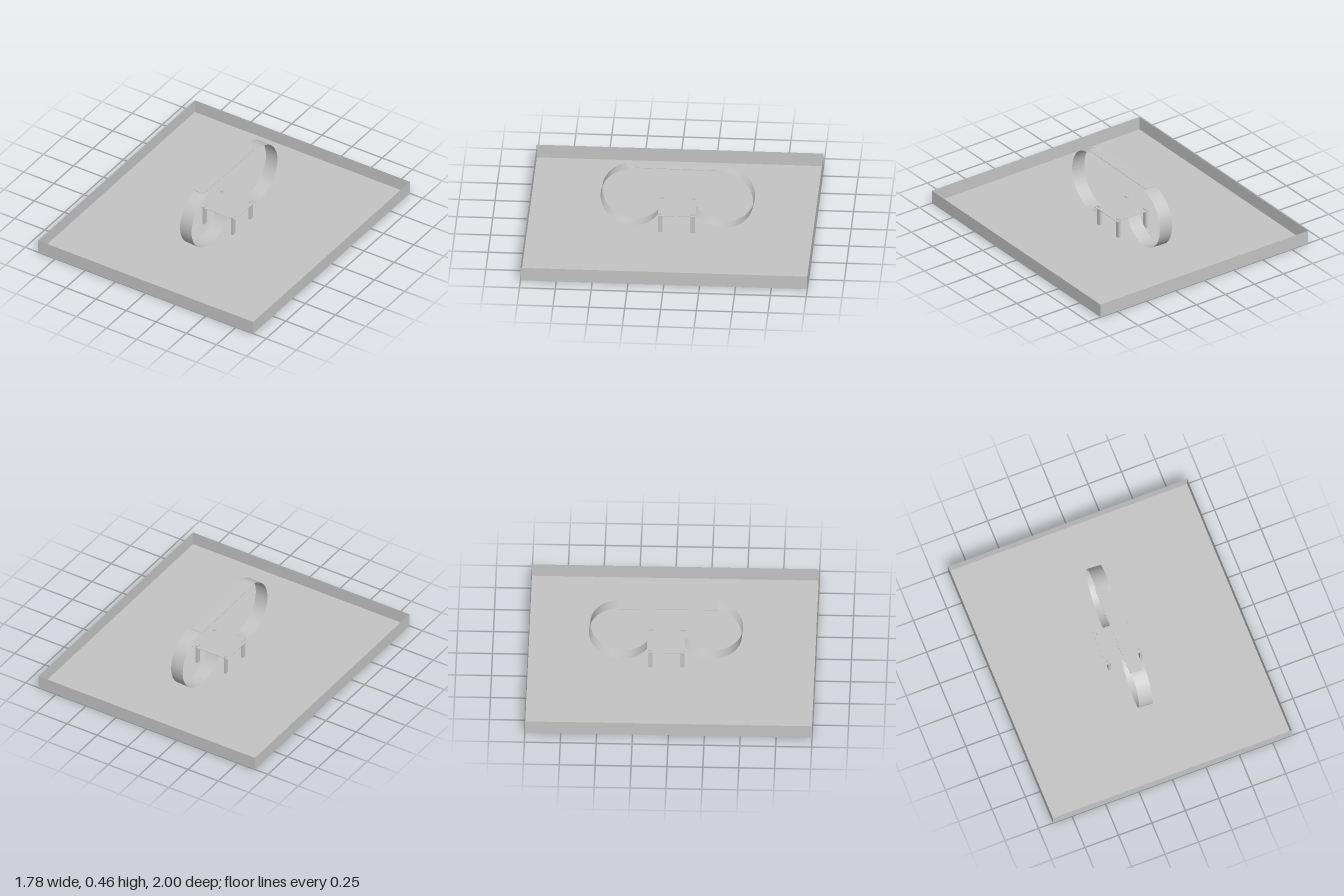
import * as THREE from 'three';

export function createModel() {
  const model = new THREE.Group();
  const grey = new THREE.MeshStandardMaterial({ color: 0xc4c4c4, side: THREE.DoubleSide });
  grey.name = 'plain grey';

  const add = (name, geometry, x, y, z) => {
    const mesh = new THREE.Mesh(geometry, grey);
    mesh.name = name;
    mesh.position.set(x, y, z);
    model.add(mesh);
    return mesh;
  };

  // Open tray: floor and four thin walls
  const W = 1.785, D = 2, H = 0.1;
  add('trayFloor', new THREE.PlaneGeometry(W, D).rotateX(-Math.PI / 2), 0, 0, 0);
  for (const s of [-1, 1]) {
    add('trayEndWall', new THREE.PlaneGeometry(W, H), 0, H / 2, s * D / 2)
      .rotation.y = s > 0 ? 0 : Math.PI;
    add('traySideWall', new THREE.PlaneGeometry(D, H), s * W / 2, H / 2, 0)
      .rotation.y = s * Math.PI / 2;
  }

  // Curled bands: from the top bar, around the outside, back up to the table
  const deg = Math.PI / 180, twist = -0.065;
  const band = new THREE.CylinderGeometry(0.22, 0.22, 0.1, 48, 1, true, -98 * deg, 251 * deg)
    .rotateZ(-Math.PI / 2);
  add('frontBand', band, 0.017, 0.234, 0.272).rotation.y = twist;
  add('backBand', band, 0.008, 0.227, -0.355).rotation.y = Math.PI + twist;

  // Flat strip joining the tops of the two bands
  add('topBar', new THREE.BoxGeometry(0.088, 0.003, 0.68), -0.005, 0.451, -0.02)
    .rotation.x = -0.009;

  // Small table on four legs
  add('tableTop', new THREE.BoxGeometry(0.29, 0.003, 0.264), 0.006, 0.138, -0.04);
  const leg = new THREE.BoxGeometry(0.017, 0.146, 0.031);
  for (const x of [-0.111, 0.124])
    for (const z of [0.075, -0.148]) add('tableLeg', leg, x, 0.073, z);

  return model;
}
